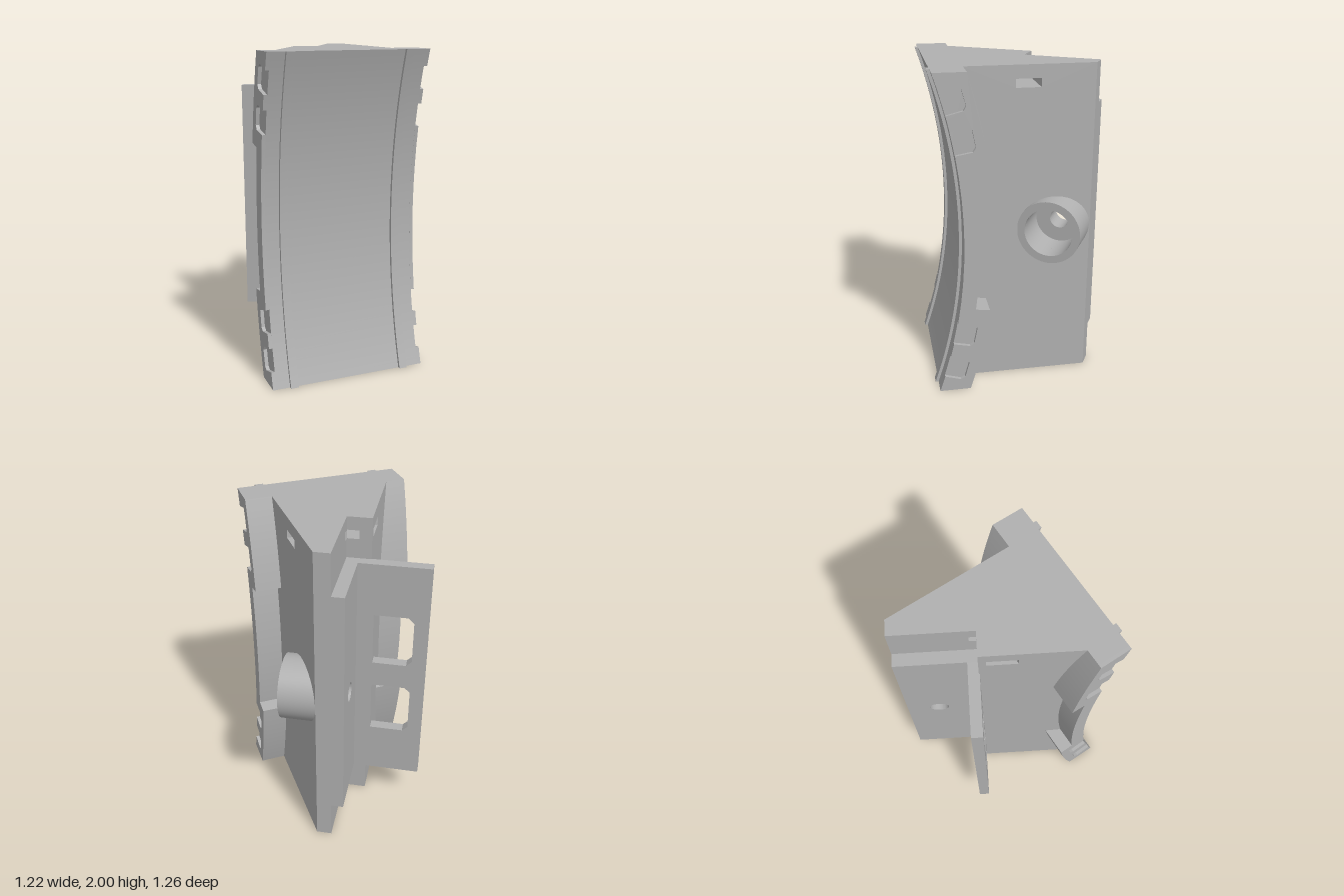
import * as THREE from 'three';
import { toCreasedNormals } from 'three/addons/utils/BufferGeometryUtils.js';

const UP = new THREE.Vector3(0, 1, 0);
const U = new THREE.Vector3(Math.sqrt(0.75), 0, -0.5);   // along the curved face
const N = new THREE.Vector3(0.5, 0, Math.sqrt(0.75));    // out of the curved face
const CENTRE = 3.36;                                     // arc centre along N
const R_FRONT = 3.11, R_BACK = 3.293, R_MID = 3.205, R_POCKET = 3.235;

export function createModel() {
  const group = new THREE.Group();
  const grey = new THREE.MeshStandardMaterial({ color: 0xb0b0b0, side: THREE.DoubleSide });
  grey.name = 'plain grey';

  const add = (name, geometry) => {
    const mesh = new THREE.Mesh(geometry, grey);
    mesh.name = name;
    group.add(mesh);
    return mesh;
  };
  const toShape = (pts) => new THREE.Shape(pts.map((p) => new THREE.Vector2(p[0], p[1])));
  const path = (pts) => new THREE.Path(pts.map((p) => new THREE.Vector2(p[0], p[1])));
  const rect = (x0, x1, y0, y1) => path([[x0, y0], [x1, y0], [x1, y1], [x0, y1]]);
  const ellipse = (x, y, rx, ry) => new THREE.Path().absellipse(x, y, rx, ry, 0, Math.PI * 2);

  // ---- Curved front shell, cross-sections in (N, y) extruded along -U ----
  const polar = (r, a) => [CENTRE - r * Math.cos(a), 1 + r * Math.sin(a)];
  const arc = (r, a0, a1, n = 16) =>
    Array.from({ length: n + 1 }, (_, i) => polar(r, a0 + ((a1 - a0) * i) / n));
  const endAngle = (r) => Math.asin(1 / r);
  const angleAt = (y) => Math.asin((y - 1) / 3.17);

  function extrudeAlongU(name, pts, u0, u1) {
    const geo = new THREE.ExtrudeGeometry(toShape(pts), { depth: u1 - u0, bevelEnabled: false });
    const m = new THREE.Matrix4().makeBasis(N, UP, U.clone().negate());
    m.setPosition(U.clone().multiplyScalar(u1));
    geo.applyMatrix4(m);
    return add(name, toCreasedNormals(geo, 0.4));
  }

  // Back of the shell, thinner in the middle, from top to bottom
  const step = Math.asin(0.45 / 3.25);
  const back = [
    ...arc(R_BACK, endAngle(R_BACK), step, 10),
    ...arc(R_MID, step, -step),
    ...arc(R_BACK, -step, -endAngle(R_BACK), 10),
  ];
  const front = arc(R_FRONT, -endAngle(R_FRONT), endAngle(R_FRONT), 40);

  // Front arc with four shallow pockets cut into it, used for the end layers
  const pockets = [[0.085, 0.225], [0.315, 0.46], [1.54, 1.685], [1.775, 1.915]];
  const notched = [];
  let a = -endAngle(R_FRONT);
  for (const [y0, y1] of pockets) {
    const p0 = angleAt(y0), p1 = angleAt(y1), c = 0.007;
    notched.push(...arc(R_FRONT, a, p0, 8));
    notched.push(polar(R_POCKET - 0.022, p0), polar(R_POCKET, p0 + c));
    notched.push(polar(R_POCKET, p1 - c), polar(R_POCKET - 0.022, p1));
    a = p1;
  }
  notched.push(...arc(R_FRONT, a, endAngle(R_FRONT), 8));

  extrudeAlongU('curvedShell', [...front, ...back], -0.518, 0.438);
  extrudeAlongU('rightPocketEdge', [...notched, ...back], -0.54, -0.518);
  extrudeAlongU('leftPocketEdge', [...notched, ...back], 0.438, 0.46);

  // Two narrow ribs following the curve
  const rb = R_FRONT - 0.018, ri = R_FRONT + 0.03;
  const rib = [
    ...arc(rb, -endAngle(rb), endAngle(rb), 40),
    ...arc(ri, endAngle(ri), -endAngle(ri), 40),
  ];
  extrudeAlongU('rightRib', rib, -0.432, -0.381);
  extrudeAlongU('leftRib', rib, 0.299, 0.35);

  // ---- Wedge body made of flat walls; corners are [x, z] ----
  function wall(name, p, q, holes = [], y0 = 0, y1 = 2) {
    const d = new THREE.Vector3(q[0] - p[0], 0, q[1] - p[1]);
    const len = d.length();
    d.normalize();
    const s = toShape([[0, y0], [len, y0], [len, y1], [0, y1]]);
    s.holes.push(...holes);
    const m = new THREE.Matrix4().makeBasis(d, UP, d.clone().cross(UP));
    m.setPosition(p[0], 0, p[1]);
    add(name, new THREE.ShapeGeometry(s, 24).applyMatrix4(m));
  }
  function slab(name, pts, y, facing) {
    const geo = new THREE.ShapeGeometry(toShape(pts.map(([x, z]) => [x, -z * facing])));
    geo.rotateX((-Math.PI / 2) * facing).translate(0, y, 0);
    add(name, geo);
  }

  const S0 = 1.868, S1 = 1.92; // slot heights
  const body = [[0.377, 0.0535], [-0.017, -0.63], [-0.11, -0.63],
    [-0.11, -0.16], [-0.255, -0.16], [-0.255, 0.4186]];
  const wallHoles = [
    [ellipse(0.558, 1, 0.173, 0.15), rect(0.315, 0.465, S0, S1)],
    [],
    [ellipse(0.2, 1, 0.06, 0.06), rect(0.428, 0.468, S0, S1)],
    [rect(0.002, 0.073, S0, S1)],
    [rect(0.042, 0.215, S0, S1)],
  ];
  wallHoles.forEach((holes, i) => wall('bodyWall', body[i], body[i + 1], holes));
  slab('bodyTop', body, 2, 1);
  slab('bodyBottom', body, 0, -1);

  // Strap slot running through the body
  const slot = [[0.145, -0.349], [0.22, -0.219], [-0.255, 0.055], [-0.255, -0.118],
    [-0.183, -0.16], [-0.11, -0.16], [-0.11, -0.202]];
  slab('slotFloor', slot, S0, 1);
  slab('slotCeiling', slot, S1, -1);
  for (const [i, j] of [[1, 2], [3, 4], [6, 0]]) wall('slotSide', slot[i], slot[j], [], S0, S1);

  // ---- Round boss with counterbore and through hole ----
  const profile = [[0.06, -0.185], [0.06, -0.04], [0.15, -0.04],
    [0.15, 0.21], [0.197, 0.21], [0.197, -0.04]];
  const bossGeo = new THREE.LatheGeometry(
    profile.map(([r, h]) => new THREE.Vector2(r, h)).reverse(), 64);
  bossGeo.rotateZ(-Math.PI / 2).translate(0, 1, -0.43);
  add('boss', toCreasedNormals(bossGeo, 0.6));

  // ---- L-shaped bracket ----
  const mount = toShape([[0.16, 0.25], [0.63, 0.25], [0.63, 1.75], [0.16, 1.75]]);
  mount.holes.push(ellipse(0.43, 1, 0.06, 0.06));
  const mountGeo = new THREE.ExtrudeGeometry(mount, { depth: 0.075, bevelEnabled: false, curveSegments: 24 });
  mountGeo.rotateY(Math.PI / 2).translate(-0.185, 0, 0);
  add('bracketMount', toCreasedNormals(mountGeo, 0.6));

  const plate = toShape([[-0.61, 0.25], [-0.185, 0.25], [-0.185, 1.75], [-0.61, 1.75]]);
  for (const [y0, y1] of [[0.585, 0.92], [1.085, 1.42]]) {
    plate.holes.push(path([[-0.285, y0], [-0.285, y1], [-0.492, y1],
      [-0.525, y1 - 0.033], [-0.525, y0 + 0.033], [-0.492, y0]]));
  }
  const plateGeo = new THREE.ExtrudeGeometry(plate, { depth: 0.065, bevelEnabled: false });
  plateGeo.translate(0, 0, -0.22);
  add('bracketPlate', plateGeo);

  return group;
}
